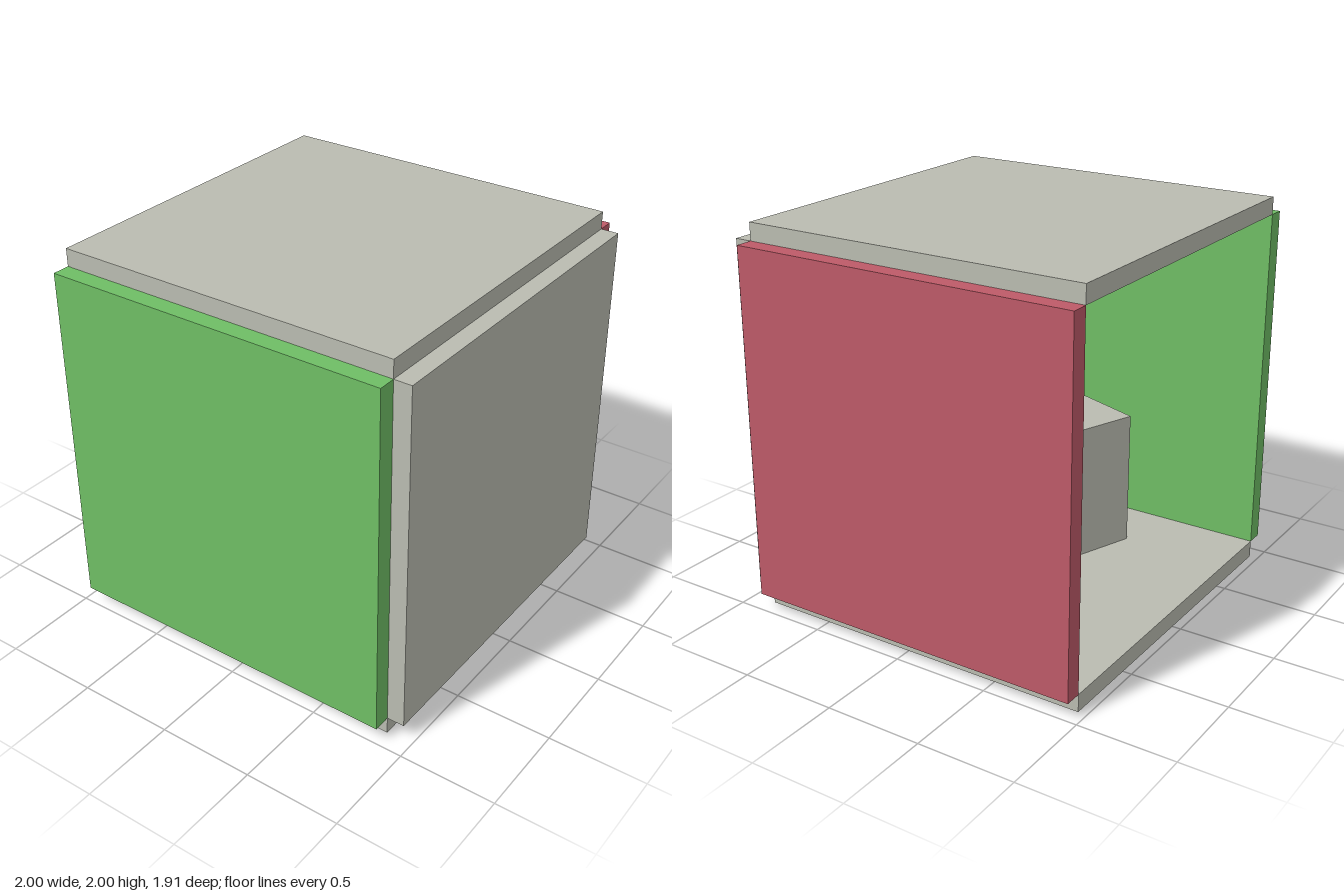
import * as THREE from 'three';

const SPAN = 1.818; // inner size of the room
const THICK = 0.091; // panel thickness
const MID_Z = -0.0455; // centre of the room in depth

export function createModel() {
  const group = new THREE.Group();
  const material = (name, color) => {
    const m = new THREE.MeshStandardMaterial({ color });
    m.name = name;
    return m;
  };
  const grey = material('warm grey', 0xbabcb1);
  const red = material('red', 0xbe5a68);
  const green = material('green', 0x6fbe65);

  const addBox = (name, mat, size, position, turn = 0) => {
    const mesh = new THREE.Mesh(new THREE.BoxGeometry(...size), mat);
    mesh.name = name;
    mesh.position.set(...position);
    mesh.rotation.y = turn;
    group.add(mesh);
  };

  // Room panels, open towards -z
  const half = (SPAN + THICK) / 2;
  addBox('floor', grey, [SPAN, THICK, SPAN], [0, 1 - half, MID_Z]);
  addBox('ceiling', grey, [SPAN, THICK, SPAN], [0, 1 + half, MID_Z]);
  addBox('closingWall', grey, [SPAN, SPAN, THICK], [0, 1, MID_Z + half]);
  addBox('leftWall', red, [THICK, SPAN, SPAN], [half, 1, MID_Z]);
  addBox('rightWall', green, [THICK, SPAN, SPAN], [-half, 1, MID_Z]);

  // Blocks standing on the floor, each turned a little
  const addBlock = (name, width, height, x, z, turn) =>
    addBox(name, grey, [width, height, width], [x, THICK + height / 2, z], turn);
  addBlock('tallBlock', 0.44, 1.45, 0.31, 0.22, 0.31);
  addBlock('shortBlock', 0.49, 0.72, -0.42, -0.06, -0.35);

  return group;
}
